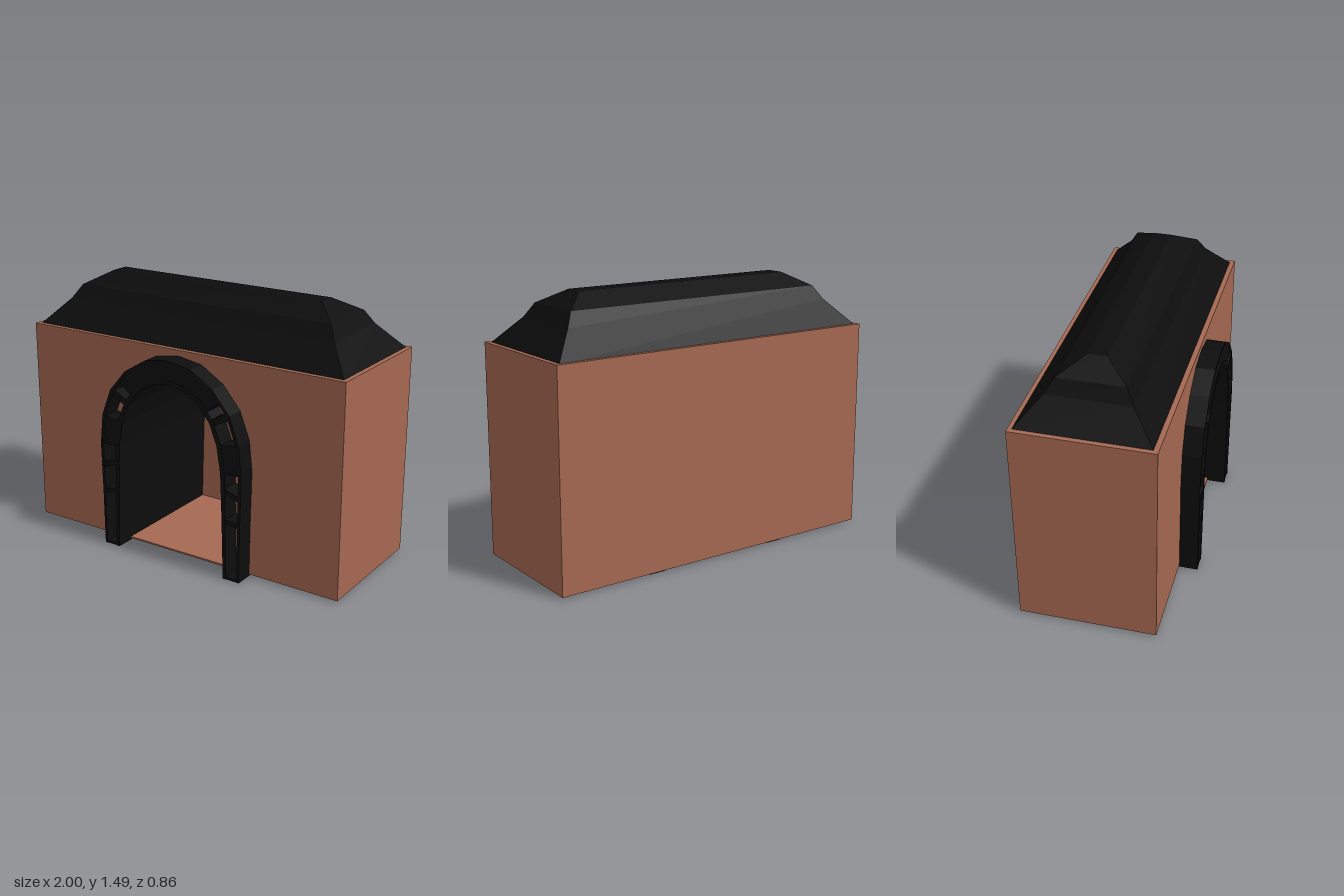
import * as THREE from 'three';

const brick = new THREE.MeshStandardMaterial({ color: 0xa56852 });
brick.name = 'brick';
const black = new THREE.MeshStandardMaterial({ color: 0x0d0d0d, side: THREE.DoubleSide });
black.name = 'black';

// Body limits
const X = 1, Z0 = -0.425, Z1 = 0.325, Y0 = 0.01, Y1 = 1.195, WALL = 0.02;
// Arch: centre line, depth and half profiles from foot to crown
const CX = 0.008, FRONT = 0.43, BACK = -0.41;
const outer = [[0.454, 0], [0.458, 0.33], [0.462, 0.475], [0.465, 0.61], [0.447, 0.78],
  [0.388, 0.933], [0.283, 1.056], [0.147, 1.139], [0, 1.163]];
const inner = [[0.353, 0], [0.344, 0.345], [0.338, 0.525], [0.334, 0.61], [0.31, 0.757],
  [0.265, 0.87], [0.195, 0.958], [0.099, 1.013], [0, 1.03]];

const mix = (a, b, t) => [a[0] + (b[0] - a[0]) * t, a[1] + (b[1] - a[1]) * t];
// Point on the arch: s runs along the half profile, t from outer to inner face
function archPoint(s, t, side = 1) {
  const i = Math.min(Math.floor(s), outer.length - 2);
  const p = mix(mix(outer[i], outer[i + 1], s - i), mix(inner[i], inner[i + 1], s - i), t);
  return [CX + side * p[0], p[1]];
}
// Whole arch line at thickness t, left foot to right foot
function archLine(t) {
  const half = outer.map((_, i) => i);
  return [...half.map((i) => archPoint(i, t, -1)),
    ...half.slice(0, -1).reverse().map((i) => archPoint(i, t, 1))];
}

function addMesh(group, name, geometry, material) {
  const mesh = new THREE.Mesh(geometry, material);
  mesh.name = name;
  group.add(mesh);
  return mesh;
}
function addSlab(group, name, points, z0, z1, material) {
  const shape = new THREE.Shape(points.map((p) => new THREE.Vector2(p[0], p[1])));
  const geometry = new THREE.ExtrudeGeometry(shape, { depth: z1 - z0, bevelEnabled: false });
  addMesh(group, name, geometry.translate(0, 0, z0), material);
}
function addBox(group, name, x0, x1, y0, y1, z0, z1, material) {
  const geometry = new THREE.BoxGeometry(x1 - x0, y1 - y0, z1 - z0);
  addMesh(group, name, geometry.translate((x0 + x1) / 2, (y0 + y1) / 2, (z0 + z1) / 2), material);
}

// Hipped roof made of stacked rectangles
function roofGeometry() {
  const rings = [[0, 1.19], [0.13, 1.335], [0.175, 1.41], [0.303, 1.485]];
  const pos = [], idx = [];
  rings.forEach(([d, y]) => {
    const x = 0.978 - d, a = 0.302 - d, b = -0.407 + d;
    pos.push(-x, y, a, x, y, a, x, y, b, -x, y, b);
  });
  for (let r = 0; r < rings.length - 1; r++) {
    for (let k = 0; k < 4; k++) {
      const a = r * 4 + k, b = r * 4 + (k + 1) % 4;
      idx.push(a, b, b + 4, a, b + 4, a + 4);
    }
  }
  const top = (rings.length - 1) * 4;
  idx.push(top, top + 1, top + 2, top, top + 2, top + 3);
  const g = new THREE.BufferGeometry();
  g.setAttribute('position', new THREE.Float32BufferAttribute(pos, 3));
  g.setIndex(idx);
  const flat = g.toNonIndexed();
  flat.computeVertexNormals();
  return flat;
}

export function createModel() {
  const model = new THREE.Group();
  model.name = 'tunnelPortal';

  // Hollow brick body
  const body = new THREE.Group();
  body.name = 'body';
  model.add(body);
  addBox(body, 'floor', -X, X, Y0, Y0 + 0.01, Z0, Z1, brick);
  addBox(body, 'ceiling', -X, X, Y1 - 0.01, Y1, Z0, Z1, brick);
  addBox(body, 'backWall', -X, X, Y0, Y1, Z0, Z0 + WALL, brick);
  for (const s of [-1, 1]) {
    const a = s * X, b = s * (X - WALL);
    addBox(body, 'sideWall', Math.min(a, b), Math.max(a, b), Y0, Y1, Z0, Z1, brick);
  }
  // Front wall with the arched opening
  const opening = archLine(0.9).map(([x, y]) => [x, Math.max(y, Y0)]);
  addSlab(body, 'frontWall', [[-X, Y0], ...opening, [X, Y0], [X, Y1], [-X, Y1]],
    Z1 - WALL, Z1, brick);

  addMesh(model, 'roof', roofGeometry(), black);

  // Arch: outer shell and inner tunnel lining
  const arch = new THREE.Group();
  arch.name = 'arch';
  model.add(arch);
  const shell = (name, t0, t1, z0) =>
    addSlab(arch, name, [...archLine(t0), ...archLine(t1).reverse()], z0, FRONT, black);
  shell('outerShell', 0, 0.14, Z1 - 0.01);
  shell('tunnelLining', 0.8, 1, BACK);

  // Closed cells, cross bars and foot rails on both sides
  for (const side of [-1, 1]) {
    const cell = (name, s0, s1) => addSlab(arch, name, [archPoint(s0, 0.05, side),
      archPoint(s1, 0.05, side), archPoint(s1, 0.95, side), archPoint(s0, 0.95, side)],
    Z1 - 0.01, FRONT - 0.002, black);
    cell('footBar', 0, 0.04);
    cell('crossBar', 0.95, 1.04);
    cell('crossBar', 1.9, 2.1);
    cell('archBlock', 3, 4);
    cell('crossBar', 4.85, 5.12);
    cell('archBlock', 5.5, 6);
    cell('archBlock', 6, 7);
    cell('archBlock', 7, 8);

    const rail = (x0, x1, z0, z1) => {
      const a = CX + side * x0, b = CX + side * x1;
      addBox(arch, 'footRail', Math.min(a, b), Math.max(a, b), 0, Y0 + 0.004, z0, z1, black);
    };
    rail(0.44, 0.454, BACK, Z1);
    rail(0.353, 0.367, BACK, Z1);
    for (const z of [-0.41, -0.24, -0.06, 0.1, 0.22]) rail(0.36, 0.45, z, z + 0.013);
  }
  return model;
}
